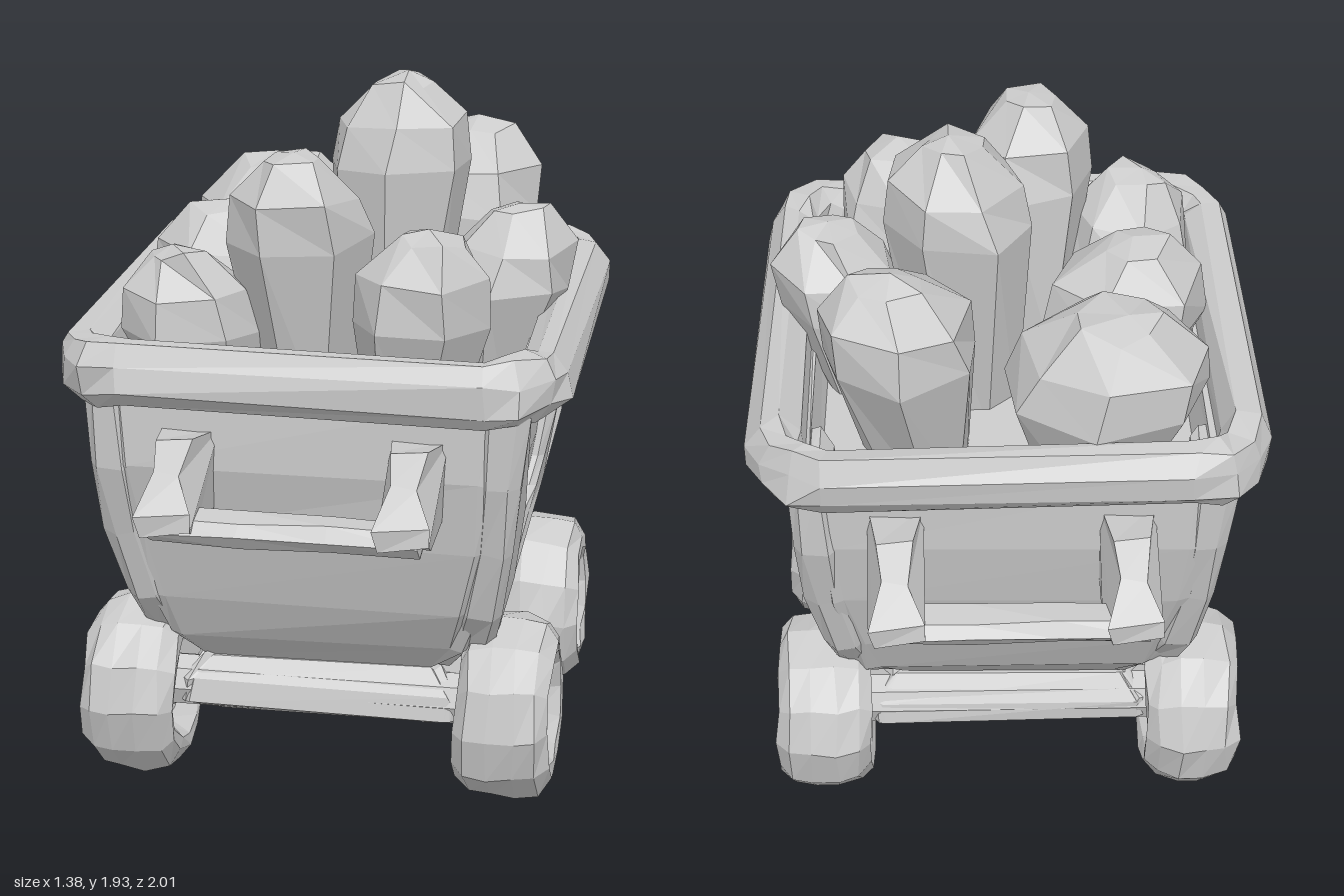
import * as THREE from 'three';

const material = new THREE.MeshStandardMaterial({ color: 0xcccccc, flatShading: true, side: THREE.DoubleSide });

// Small position-based wobble for a hand-chiselled look; shared corners stay together.
function chisel(geometry, amount, seed = 0) {
  const p = geometry.attributes.position;
  const hash = (x, y, z, k) => {
    const s = Math.sin(Math.round(x * 500) * 12.99 + Math.round(y * 500) * 78.23 + Math.round(z * 500) * 37.72 + k * 4.13 + seed) * 4375.85;
    return (s - Math.floor(s) - 0.5) * 2 * amount;
  };
  for (let i = 0; i < p.count; i++) {
    const x = p.getX(i), y = p.getY(i), z = p.getZ(i);
    p.setXYZ(i, x + hash(x, y, z, 1), y + hash(x, y, z, 2), z + hash(x, y, z, 3));
  }
  const flat = geometry.index ? geometry.toNonIndexed() : geometry;
  flat.computeVertexNormals();
  return flat;
}

function add(parent, name, geometry) {
  const mesh = new THREE.Mesh(geometry, material);
  mesh.name = name;
  parent.add(mesh);
  return mesh;
}

// Skin through rounded rectangles, each [halfX, halfZ, y, cornerRadius].
function loft(sections, closed = false) {
  const positions = [], index = [], steps = 3, n = 4 * (steps + 1);
  for (const [hx, hz, y, r] of sections) {
    for (let c = 0; c < 4; c++) {
      const sx = c === 0 || c === 3 ? 1 : -1, sz = c < 2 ? 1 : -1;
      for (let s = 0; s <= steps; s++) {
        const a = (c + s / steps) * Math.PI / 2;
        positions.push(sx * (hx - r) + r * Math.cos(a), y, sz * (hz - r) + r * Math.sin(a));
      }
    }
  }
  const rows = sections.length;
  for (let j = 0; j < (closed ? rows : rows - 1); j++) {
    for (let i = 0; i < n; i++) {
      const a = j * n + i, b = j * n + (i + 1) % n;
      const c = ((j + 1) % rows) * n + i, d = ((j + 1) % rows) * n + (i + 1) % n;
      index.push(a, c, b, b, c, d);
    }
  }
  const g = new THREE.BufferGeometry();
  g.setAttribute('position', new THREE.Float32BufferAttribute(positions, 3));
  g.setIndex(index);
  return g;
}

function lathe(points, sides) {
  return new THREE.LatheGeometry(points.map(([r, y]) => new THREE.Vector2(r, y)), sides);
}

function extrude(outline, depth, bevel) {
  const shape = new THREE.Shape(outline.map(([x, y]) => new THREE.Vector2(x, y)));
  return new THREE.ExtrudeGeometry(shape, { depth, bevelEnabled: bevel > 0, bevelThickness: bevel, bevelSize: bevel, bevelSegments: 1 });
}

// Half width of the sloping tub side at height y
const sideProfile = [[0.36, 0.36], [0.46, 0.45], [0.6, 0.485], [0.8, 0.525], [1.25, 0.565]];
function sideX(y) {
  const i = Math.max(1, sideProfile.findIndex(([top]) => y <= top));
  const [y0, x0] = sideProfile[i - 1], [y1, x1] = sideProfile[i];
  return x0 + (x1 - x0) * (y - y0) / (y1 - y0);
}

// U-shaped raised border on the tub side, bent to follow its slope
function sideFrame() {
  const outer = [[0.68, 1.2], [0.665, 1.0], [0.62, 0.8], [0.555, 0.6], [0.47, 0.48]];
  const inner = [[0.27, 0.585], [0.36, 0.635], [0.41, 0.72], [0.44, 0.87], [0.46, 1.03], [0.465, 1.2]];
  const mirror = points => points.slice().reverse().map(([z, y]) => [-z, y]);
  const g = extrude([...outer, ...mirror(outer), ...mirror(inner), ...inner], 0.065, 0.024);
  g.rotateY(Math.PI / 2);
  const p = g.attributes.position;
  for (let i = 0; i < p.count; i++) p.setX(i, p.getX(i) + sideX(p.getY(i)) - 0.06);
  return chisel(g, 0.009);
}

// Push handle: two tapering arms and a crossbar
function handle() {
  const group = new THREE.Group();
  const outline = [[-0.64, 1.1], [-0.83, 1.14], [-0.92, 1.08], [-0.995, 0.99], [-0.99, 0.935], [-0.9, 0.91], [-0.64, 0.89]];
  for (const x of [-0.305, 0.305]) {
    const g = extrude(outline, 0.13, 0);
    g.translate(0, 0, -0.065).rotateY(Math.PI / 2);
    const p = g.attributes.position;
    for (let i = 0; i < p.count; i++) p.setX(i, p.getX(i) * (p.getZ(i) > 0.7 && p.getY(i) > 1.05 ? 0.55 : 1));
    add(group, 'handleArm', chisel(g, 0.012).translate(x, 0, 0));
  }
  const bar = new THREE.CylinderGeometry(0.045, 0.045, 0.7, 6, 3);
  bar.rotateZ(Math.PI / 2).scale(1, 0.85, 1.65).translate(0, 0.932, 0.91);
  add(group, 'handleBar', chisel(bar, 0.007));
  return group;
}

export function createModel() {
  const model = new THREE.Group();
  model.name = 'mineCart';

  // Tub: outside upwards, over the lip, then down to the inner floor
  add(model, 'tub', chisel(loft([
    [0.01, 0.01, 0.365, 0.005], [0.36, 0.42, 0.37, 0.06], [0.43, 0.51, 0.46, 0.06],
    [0.465, 0.58, 0.6, 0.06], [0.505, 0.645, 0.8, 0.06], [0.53, 0.69, 1.0, 0.06], [0.545, 0.7, 1.24, 0.06],
    [0.53, 0.65, 1.24, 0.06], [0.5, 0.62, 1.12, 0.06], [0.01, 0.01, 1.12, 0.005],
  ]), 0.008));

  // Thick rounded rim
  add(model, 'rim', chisel(loft([
    [0.63, 0.74, 1.18, 0.15], [0.678, 0.78, 1.22, 0.2], [0.678, 0.78, 1.29, 0.2], [0.645, 0.75, 1.345, 0.17],
    [0.59, 0.695, 1.345, 0.13], [0.555, 0.66, 1.3, 0.1], [0.535, 0.64, 1.19, 0.07],
  ], true), 0.013)).position.set(0.005, 0, -0.01);

  for (const turn of [0, Math.PI]) {
    const side = add(model, 'sideFrame', sideFrame());
    side.rotation.y = turn;
    const grip = handle();
    grip.name = 'handle';
    grip.rotation.y = turn;
    model.add(grip);
  }

  // Chassis and axles
  add(model, 'chassis', chisel(loft([
    [0.01, 0.01, 0.2, 0.005], [0.31, 0.42, 0.2, 0.03], [0.39, 0.48, 0.235, 0.03],
    [0.39, 0.48, 0.3, 0.03], [0.34, 0.43, 0.365, 0.03], [0.01, 0.01, 0.365, 0.005],
  ]), 0.008));

  // Wheels with sunken hubs on both faces
  const half = [[0, 0.1], [0.06, 0.095], [0.085, 0.065], [0.12, 0.07], [0.165, 0.125], [0.2, 0.13], [0.24, 0.095], [0.256, 0.035]];
  const tire = [...half.map(([r, h]) => [r, -h]), ...half.slice().reverse()];
  for (const z of [-0.405, 0.405]) {
    const axle = new THREE.CylinderGeometry(0.075, 0.075, 0.94, 8);
    add(model, 'axle', axle.rotateZ(Math.PI / 2).translate(0, 0.275, z));
    for (const s of [-1, 1]) {
      const wheel = add(model, 'wheel', chisel(lathe(tire, 12).rotateZ(-s * Math.PI / 2), 0.008, z + s));
      wheel.position.set(s * 0.52 + 0.005, 0.267, z);
    }
  }

  // Heaped crystals flaring and leaning outwards: x, z, radius, top, sides
  const crystals = [
    [0.12, -0.09, 0.215, 1.93, 7], [-0.07, 0.34, 0.195, 1.81, 6], [0.28, -0.44, 0.22, 1.73, 7],
    [-0.27, -0.45, 0.28, 1.61, 7], [-0.34, -0.03, 0.235, 1.57, 6], [0.46, 0.01, 0.185, 1.61, 7],
    [-0.37, 0.4, 0.19, 1.55, 7], [0.28, 0.42, 0.2, 1.62, 7],
  ];
  crystals.forEach(([x, z, r, top, sides], i) => {
    const g = lathe([[0.58 * r, 1.05], [r, top - 0.25], [0.9 * r, top - 0.13], [0.42 * r, top - 0.025], [0, top]], sides);
    g.rotateY(i * 0.7);
    const p = g.attributes.position;
    for (let k = 0; k < p.count; k++) {
      const lean = (p.getY(k) - 1.42) * 0.4;
      p.setX(k, p.getX(k) + x * (1 + lean));
      p.setZ(k, p.getZ(k) + z * (1 + lean));
    }
    add(model, 'crystal', chisel(g, 0.015, i));
  });

  // Small crystals hanging beneath the chassis
  for (const x of [-0.1, 0.11]) {
    for (const z of [-0.17, -0.01, 0.15]) {
      const g = lathe([[0, 0.09], [0.045, 0.105], [0.08, 0.16], [0.06, 0.22]], 6);
      add(model, 'hangingCrystal', chisel(g, 0.008, x + z)).position.set(x, 0, z);
    }
  }
  return model;
}
